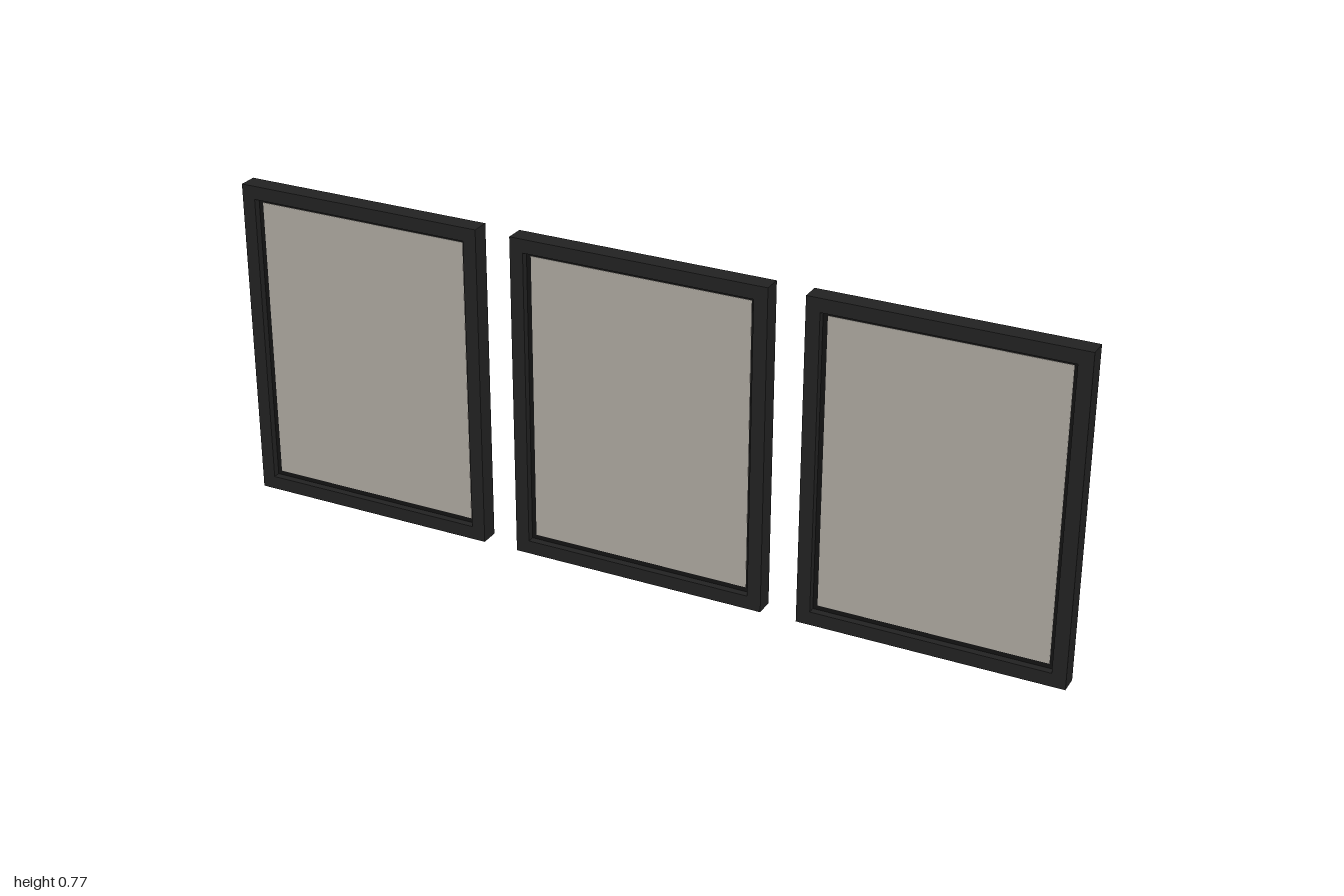
import * as THREE from 'three';

const WIDTH = 0.61, HEIGHT = 0.77, DEPTH = 0.044;
const RAIL = 0.032;   // width of the raised front rail
const BORDER = 0.043; // outer edge to picture panel
const RECESS = 0.016; // how far the panel sits behind the rail

const material = (name, color) => {
  const m = new THREE.MeshStandardMaterial({ color });
  m.name = name;
  return m;
};

// Rectangle path centred on the origin
function rect(path, w, h) {
  path.moveTo(-w / 2, -h / 2);
  path.lineTo(w / 2, -h / 2);
  path.lineTo(w / 2, h / 2);
  path.lineTo(-w / 2, h / 2);
  path.closePath();
  return path;
}

export function createModel() {
  const frameMat = material('charcoal frame', 0x222222);
  const lipMat = material('black lip', 0x141414);
  const panelMat = material('warm grey panel', 0xb0aba3);

  // Raised rail around the opening
  const railShape = rect(new THREE.Shape(), WIDTH, HEIGHT);
  railShape.holes.push(rect(new THREE.Path(), WIDTH - 2 * RAIL, HEIGHT - 2 * RAIL));
  const railGeo = new THREE.ExtrudeGeometry(railShape, { depth: DEPTH, bevelEnabled: false });
  railGeo.translate(0, 0, -DEPTH / 2);

  // Backing board closing the rear, and the plates lying on it
  const boardDepth = DEPTH - RECESS - 0.003;
  const boardGeo = new THREE.BoxGeometry(WIDTH - 2 * RAIL, HEIGHT - 2 * RAIL, boardDepth);
  boardGeo.translate(0, 0, -DEPTH / 2 + boardDepth / 2);
  const lipGeo = new THREE.BoxGeometry(WIDTH - 2 * RAIL, HEIGHT - 2 * RAIL, 0.002);
  const panelGeo = new THREE.BoxGeometry(WIDTH - 2 * BORDER, HEIGHT - 2 * BORDER, 0.002);

  const add = (group, name, geo, mat, z = 0) => {
    const mesh = new THREE.Mesh(geo, mat);
    mesh.name = name;
    mesh.position.z = z;
    group.add(mesh);
  };

  const model = new THREE.Group();
  model.name = 'framedPanels';
  ['rightFrame', 'centreFrame', 'leftFrame'].forEach((name, i) => {
    const frame = new THREE.Group();
    frame.name = name;
    frame.position.set((i - 1) * (1 - WIDTH / 2), HEIGHT / 2, 0);
    add(frame, 'rail', railGeo, frameMat);
    add(frame, 'backBoard', boardGeo, frameMat);
    add(frame, 'innerLip', lipGeo, lipMat, DEPTH / 2 - RECESS - 0.002);
    add(frame, 'picturePanel', panelGeo, panelMat, DEPTH / 2 - RECESS - 0.001);
    model.add(frame);
  });
  return model;
}
